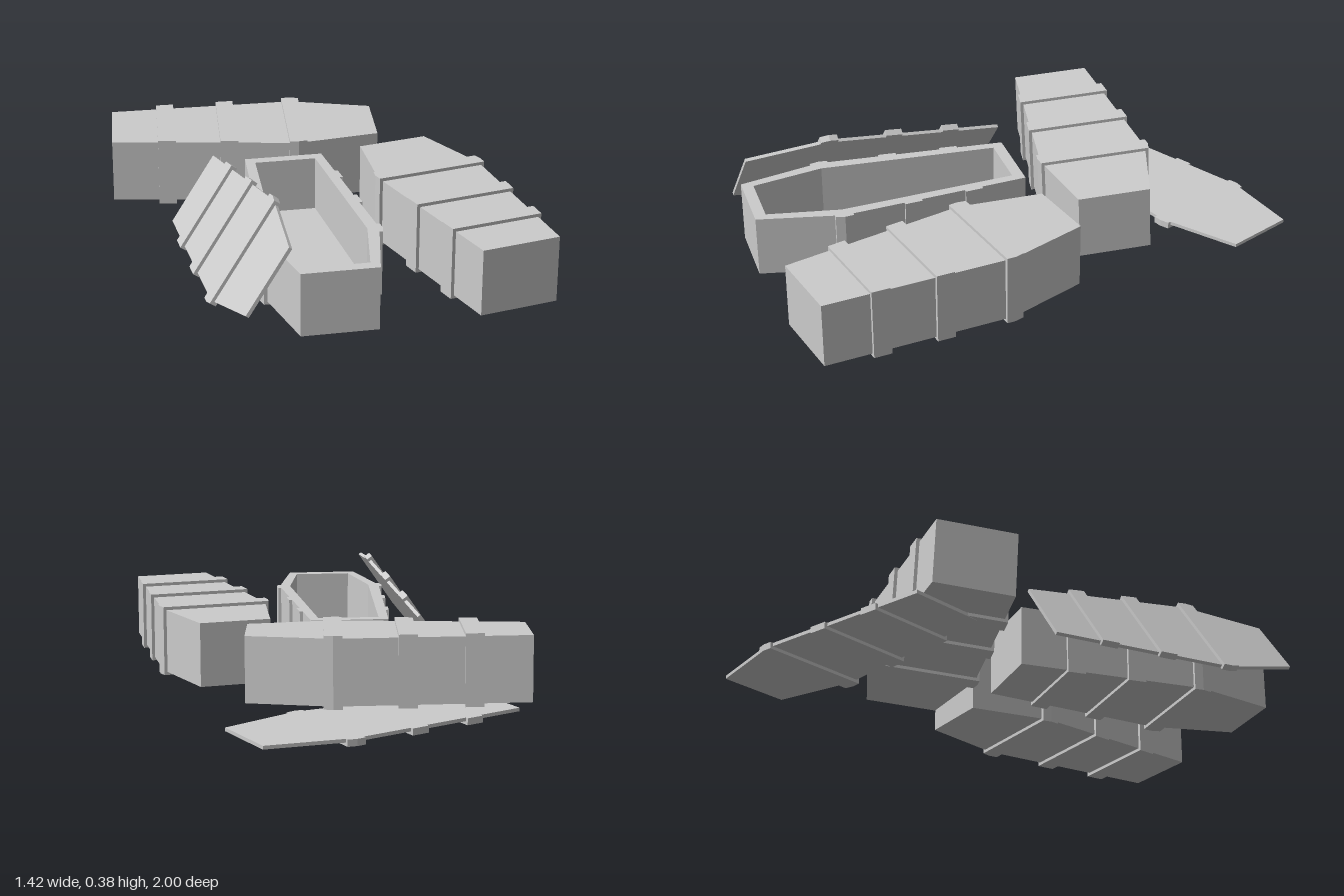
import * as THREE from 'three';

const material = new THREE.MeshStandardMaterial({ color: 0xcccccc, flatShading: true });

// Coffin plan: foot at -z, head at +z, widest at the shoulder
const FOOT = -0.515, SHOULDER = 0.2, HEAD = 0.515;
const FLOOR = 0.012, RIM = 0.243, LID = 0.013, STRAP = 0.012;
const STRAP_Z = [-0.305, -0.066, 0.2];
const STRAP_HALF = 0.034;

function halfWidth(z) {
  return z < SHOULDER
    ? THREE.MathUtils.mapLinear(z, FOOT, SHOULDER, 0.1475, 0.206)
    : THREE.MathUtils.mapLinear(z, SHOULDER, HEAD, 0.206, 0.136);
}

function outline(inset) {
  const rows = [
    [FOOT + inset, 0.1475 - inset * 0.75],
    [SHOULDER, 0.206 - inset],
    [HEAD - inset, 0.136 - inset * 0.6],
  ];
  return [
    ...rows.map(([z, w]) => new THREE.Vector2(w, z)),
    ...rows.reverse().map(([z, w]) => new THREE.Vector2(-w, z)),
  ];
}

// Extrude a plan polygon (x, z) between two heights
function slab(name, points, y0, y1, hole) {
  const shape = new THREE.Shape(points);
  if (hole) shape.holes.push(new THREE.Path(hole));
  const geometry = new THREE.ExtrudeGeometry(shape, { depth: y1 - y0, bevelEnabled: false });
  geometry.rotateX(Math.PI / 2).translate(0, y1, 0);
  const mesh = new THREE.Mesh(geometry, material);
  mesh.name = name;
  return mesh;
}

// Plan of a strap section between two side offsets from the wall
function strapRows(z) {
  const rows = [z - STRAP_HALF, z + STRAP_HALF];
  if (rows[0] < SHOULDER && rows[1] > SHOULDER) rows.splice(1, 0, SHOULDER);
  return rows;
}

function acrossStrap(z) {
  const rows = strapRows(z);
  return [
    ...rows.map((r) => new THREE.Vector2(halfWidth(r) + STRAP, r)),
    ...rows.reverse().map((r) => new THREE.Vector2(-halfWidth(r) - STRAP, r)),
  ];
}

function sideStrap(z, side) {
  const rows = strapRows(z);
  return [
    ...rows.map((r) => new THREE.Vector2(side * (halfWidth(r) + STRAP), r)),
    ...rows.reverse().map((r) => new THREE.Vector2(side * (halfWidth(r) - 0.002), r)),
  ];
}

// Open box with straps up the sides and under the base
function makeBody() {
  const body = new THREE.Group();
  body.name = 'coffinBody';
  body.add(slab('walls', outline(0), FLOOR, RIM, outline(0.043)));
  body.add(slab('floor', outline(0.03), FLOOR, FLOOR + 0.025));
  for (const z of STRAP_Z) {
    body.add(slab('baseStrap', acrossStrap(z), 0, FLOOR));
    for (const side of [-1, 1]) body.add(slab('sideStrap', sideStrap(z, side), FLOOR, RIM));
  }
  return body;
}

// Flat lid, underside at y = 0, straps on top
function makeLid() {
  const lid = new THREE.Group();
  lid.name = 'coffinLid';
  lid.add(slab('lidBoard', outline(0), 0, LID));
  for (const z of STRAP_Z) {
    lid.add(slab('lidStrap', acrossStrap(z), LID, LID + STRAP));
    for (const side of [-1, 1]) lid.add(slab('lidStrapEnd', sideStrap(z, side), 0, LID));
  }
  return lid;
}

function makeClosedCoffin() {
  const coffin = new THREE.Group();
  const lid = makeLid();
  lid.position.y = RIM;
  coffin.add(makeBody(), lid);
  return coffin;
}

function place(object, name, position, rotation, order) {
  object.name = name;
  object.position.set(...position);
  object.rotation.set(...rotation, order);
  return object;
}

export function createModel() {
  const model = new THREE.Group();
  model.name = 'coffins';
  model.add(
    place(makeBody(), 'openCoffin', [-0.085, 0, 0.47], [0, 0, 0], 'XYZ'),
    place(makeClosedCoffin(), 'leftClosedCoffin', [0.455, 0, 0.42], [0, Math.PI + 0.203, 0], 'XYZ'),
    // Tipped slightly where it rests on the fallen lid
    place(makeClosedCoffin(), 'backClosedCoffin', [-0.186, 0.014, -0.366], [0.045, 1.467, 0], 'XYZ'),
    // Lid lying upside down on the ground
    place(makeLid(), 'fallenLid', [-0.096, LID + STRAP, -0.674], [0, 1.99, Math.PI], 'YXZ'),
    // Lid leaning against the open coffin
    place(makeLid(), 'leaningLid', [-0.372, 0.172, 0.462], [-0.078, 0.101, 0.96], 'YXZ'),
  );
  return model;
}
